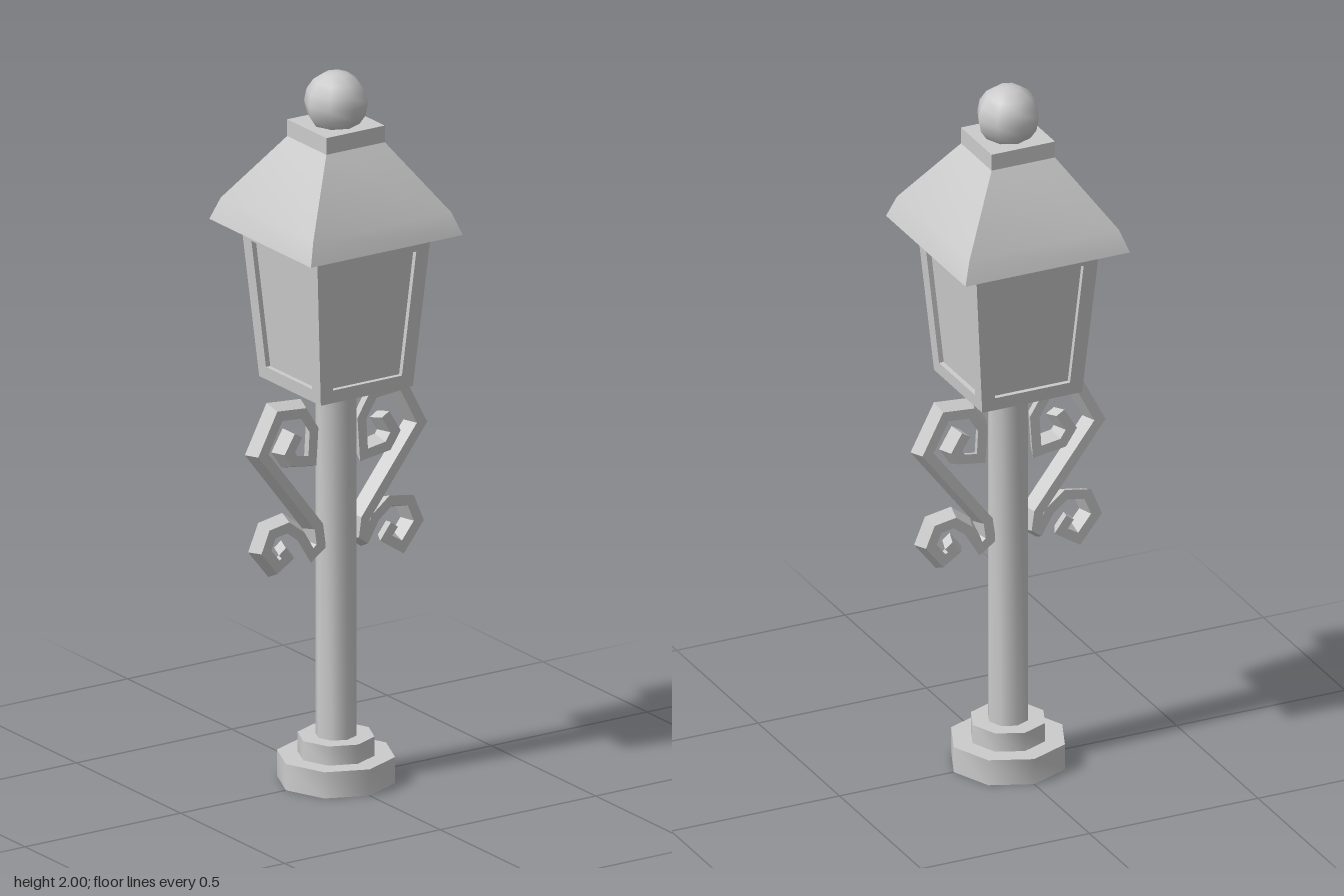
import * as THREE from 'three';
import { toCreasedNormals } from 'three/addons/utils/BufferGeometryUtils.js';

const grey = new THREE.MeshStandardMaterial({ color: 0xcccccc });
const greyOpen = new THREE.MeshStandardMaterial({ color: 0xcccccc, side: THREE.DoubleSide });
const greyFlat = new THREE.MeshStandardMaterial({ color: 0xcccccc, flatShading: true });

function add(parent, name, geometry, material = grey) {
  const mesh = new THREE.Mesh(geometry, material);
  mesh.name = name;
  parent.add(mesh);
  return mesh;
}

// Revolved profile with sharp edges above the crease angle
function turned(profile, sides, crease, start = 0) {
  const points = profile.map(([r, y]) => new THREE.Vector2(r, y));
  return toCreasedNormals(new THREE.LatheGeometry(points, sides, start), crease);
}

// Square profile: r is half the side length
function squareTurned(profile) {
  return turned(profile.map(([r, y]) => [r * Math.SQRT2, y]), 4, 0.5, Math.PI / 4);
}

// Slanted bar section swept along a flat path with mitred corners
function sweptBar(path, halfWidth, halfDepth, slant) {
  const pts = path.map(([x, y]) => new THREE.Vector2(x, y));
  const section = [[-1, -1], [1, -1], [1, 1], [-1, 1]];
  const position = [], index = [];
  const last = pts.length - 1;
  pts.forEach((p, i) => {
    const before = p.clone().sub(pts[Math.max(i - 1, 0)]).normalize();
    const after = pts[Math.min(i + 1, last)].clone().sub(p).normalize();
    const t = before.clone().add(after).normalize();
    const miter = 1 / Math.max(0.7, t.dot(i < last ? after : before));
    for (const [u, v] of section) {
      const offset = (u * halfWidth + v * halfDepth * slant) * miter;
      position.push(p.x - t.y * offset, p.y + t.x * offset, v * halfDepth);
    }
  });
  for (let i = 0; i < last; i++) {
    for (let j = 0; j < 4; j++) {
      const a = i * 4 + j, b = i * 4 + (j + 1) % 4;
      index.push(a, b, b + 4, a, b + 4, a + 4);
    }
  }
  const e = last * 4;
  index.push(0, 3, 2, 0, 2, 1, e, e + 1, e + 2, e, e + 2, e + 3);
  const g = new THREE.BufferGeometry();
  g.setAttribute('position', new THREE.Float32BufferAttribute(position, 3));
  g.setIndex(index);
  const flat = g.toNonIndexed();
  flat.computeVertexNormals();
  return flat;
}

// Lantern body taper
const bodyBottom = 1.125, bodyTop = 1.56, recess = 0.014;
const bodyHalf = (y) => THREE.MathUtils.mapLinear(y, bodyBottom, bodyTop, 0.148, 0.183);

// One tapered window frame, leaning with the lantern wall
function windowFrame() {
  const shape = new THREE.Shape([
    new THREE.Vector2(-bodyHalf(bodyBottom), bodyBottom),
    new THREE.Vector2(bodyHalf(bodyBottom), bodyBottom),
    new THREE.Vector2(bodyHalf(bodyTop), bodyTop),
    new THREE.Vector2(-bodyHalf(bodyTop), bodyTop),
  ]);
  shape.holes.push(new THREE.Path([
    new THREE.Vector2(-0.111, 1.162), new THREE.Vector2(-0.138, 1.515),
    new THREE.Vector2(0.138, 1.515), new THREE.Vector2(0.111, 1.162),
  ]));
  const g = new THREE.ExtrudeGeometry(shape, { depth: recess, bevelEnabled: false });
  const p = g.attributes.position;
  for (let i = 0; i < p.count; i++) {
    const half = bodyHalf(p.getY(i));
    const z = half - recess + p.getZ(i);
    // Mitre the ends so neighbouring frames meet at the corner
    const x = THREE.MathUtils.clamp(p.getX(i), -z, z);
    p.setXYZ(i, x, p.getY(i), z);
  }
  g.computeVertexNormals();
  return g;
}

export function createModel() {
  const model = new THREE.Group();
  model.name = 'streetLamp';

  // Stepped hollow base and post
  add(model, 'base', turned([
    [0.161, 0], [0.161, 0.074], [0.105, 0.074], [0.105, 0.128], [0.05, 0.128],
  ], 8, 0.9), greyOpen);
  add(model, 'post', turned([[0.056, 0.125], [0.056, 1.13]], 8, 0.9), greyOpen);

  // Scroll brackets, one turned half round from the other
  const scrollPath = [
    [0.14, 1.005], [0.17, 0.955], [0.15, 0.925], [0.083, 0.915], [0.077, 1.01],
    [0.113, 1.068], [0.198, 1.075], [0.255, 0.965], [0.075, 0.73], [0.068, 0.68],
    [0.088, 0.665], [0.12, 0.72], [0.165, 0.755], [0.222, 0.745], [0.245, 0.69],
    [0.2, 0.633], [0.158, 0.66], [0.18, 0.688],
  ];
  const scroll = sweptBar(scrollPath, 0.014, 0.02, 0.35);
  add(model, 'leftScroll', scroll, greyFlat);
  add(model, 'rightScroll', scroll, greyFlat).rotation.y = Math.PI;

  // Lantern: recessed panes inside four frames
  const lantern = new THREE.Group();
  lantern.name = 'lantern';
  model.add(lantern);
  add(lantern, 'panes', squareTurned([
    [0, bodyBottom], [bodyHalf(bodyBottom) - recess, bodyBottom],
    [bodyHalf(bodyTop) - recess, bodyTop], [0, bodyTop],
  ]));
  const frame = windowFrame();
  for (let i = 0; i < 4; i++) {
    add(lantern, 'windowFrame', frame).rotation.y = i * Math.PI / 2;
  }

  // Roof with short collar
  add(model, 'roof', squareTurned([
    [0, 1.56], [0.244, 1.56], [0.222, 1.622], [0.094, 1.808],
    [0.094, 1.855], [0, 1.855],
  ]));

  // Ball finial
  add(model, 'finial', new THREE.SphereGeometry(0.087, 8, 8)).position.y = 1.913;

  return model;
}
